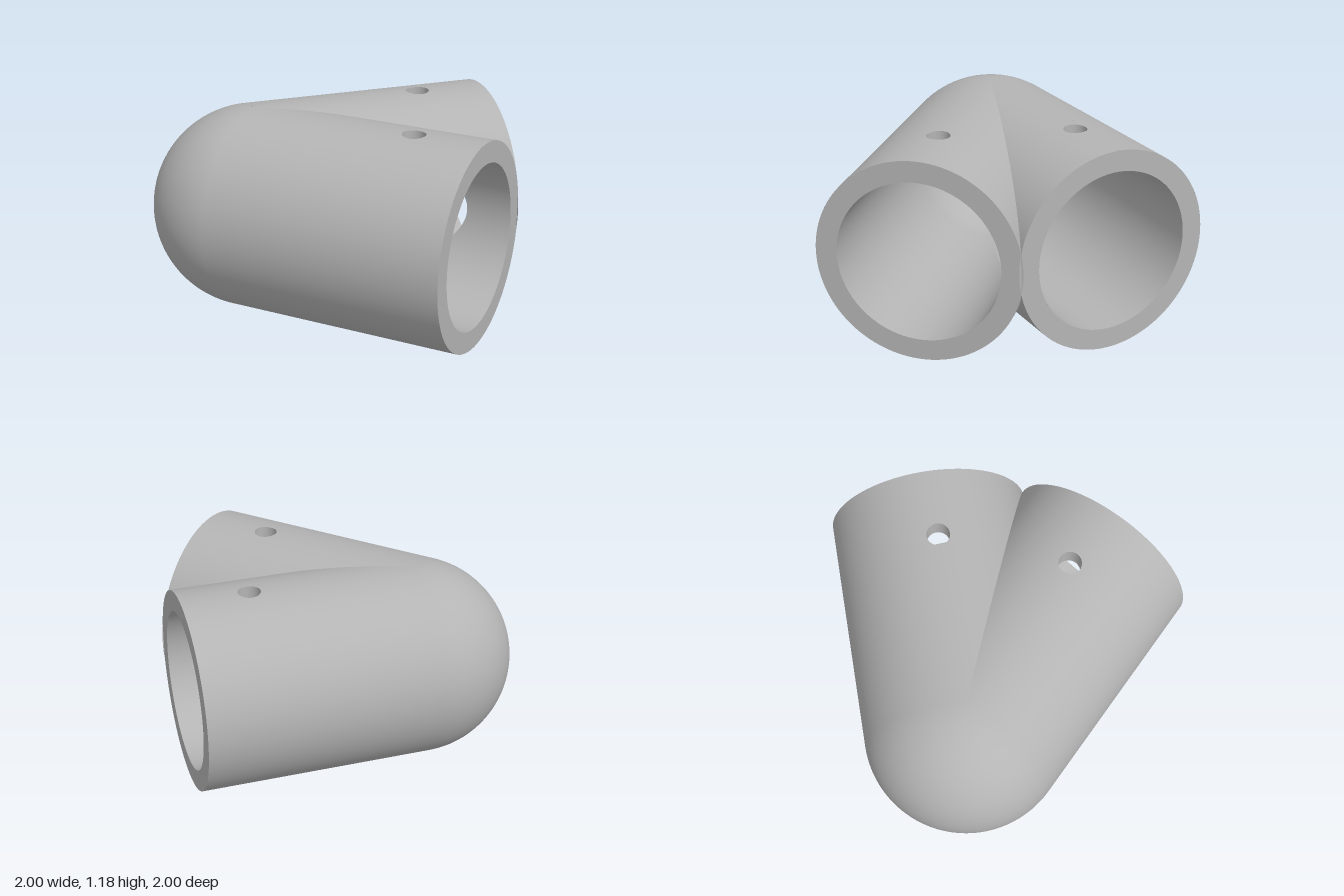
import * as THREE from 'three';
import { ParametricGeometry } from 'three/addons/geometries/ParametricGeometry.js';
import { mergeGeometries } from 'three/addons/utils/BufferGeometryUtils.js';

const R = 0.592, BORE = 0.47, LENGTH = 1.4;       // tube radii and length from the elbow centre
const CENTRE = new THREE.Vector3(-0.408, R, 0.408);
const HALF_ANGLE = Math.PI / 8;                   // the tubes meet at 45 degrees
const PIN = 0.067, PIN_AT = 0.997, PATCH = 0.12;  // pin hole radius, position, surrounding square

// One tube; s runs along the axis, q sideways towards the other tube, h upwards
function tubeGeometry(axis, side, mirrored) {
  const up = new THREE.Vector3(0, 1, 0);
  const sheet = (nu, nv, flip, fn) => new ParametricGeometry((u, v, target) => {
    const [s, q, h] = fn(flip !== mirrored ? 1 - u : u, v);
    target.set(0, 0, 0).addScaledVector(axis, s).addScaledVector(side, q).addScaledVector(up, h);
  }, nu, nv);
  const lerp = THREE.MathUtils.lerp;
  const parts = [];

  for (const r of [R, BORE]) {
    const inner = r === BORE;
    const tw = Math.asin(PATCH / r);
    // Start of the wall: the mitre plane on the near side, the dome on the far side
    const start = t => Math.min(LENGTH, Math.max(0, r * Math.sin(t) / Math.tan(HALF_ANGLE)));
    const wall = (t0, t1, nt, from, to) => parts.push(sheet(8, nt, inner, (u, v) => {
      const t = lerp(t0, t1, v);
      return [lerp(from(t), to, u), r * Math.sin(t), r * Math.cos(t)];
    }));
    wall(tw, 2 * Math.PI - tw, 120, start, LENGTH);
    wall(-tw, tw, 12, start, PIN_AT - PATCH);
    wall(-tw, tw, 12, () => PIN_AT + PATCH, LENGTH);

    // Square patch with the round pin hole
    parts.push(sheet(4, 48, inner, (u, v) => {
      const a = v * 2 * Math.PI, c = Math.cos(a), d = Math.sin(a);
      const rho = lerp(PIN, PATCH / Math.max(Math.abs(c), Math.abs(d)), u);
      const q = rho * d;
      return [PIN_AT + rho * c, q, Math.sqrt(r * r - q * q)];
    }));
  }

  // Wall of the pin hole
  parts.push(sheet(1, 48, false, (u, v) => {
    const a = v * 2 * Math.PI, q = PIN * Math.sin(a);
    const h = lerp(Math.sqrt(BORE * BORE - q * q), Math.sqrt(R * R - q * q), u);
    return [PIN_AT + PIN * Math.cos(a), q, h];
  }));

  // Flat rim at the open end
  parts.push(sheet(1, 128, false, (u, v) => {
    const t = v * 2 * Math.PI, r = lerp(R, BORE, u);
    return [LENGTH, r * Math.sin(t), r * Math.cos(t)];
  }));
  return mergeGeometries(parts);
}

// The part of the elbow sphere that neither tube covers
function domeGeometry(r) {
  return new THREE.SphereGeometry(r, 48, 64, Math.PI * 1.75, Math.PI * 0.75);
}

export function createModel() {
  const group = new THREE.Group();
  group.name = 'pipeElbowConnector';
  const grey = new THREE.MeshStandardMaterial({ color: 0xb4b4b4, side: THREE.DoubleSide });
  grey.name = 'plain grey';

  const add = (name, geometry) => {
    const mesh = new THREE.Mesh(geometry, grey);
    mesh.name = name;
    mesh.position.copy(CENTRE);
    group.add(mesh);
  };

  const c = Math.SQRT1_2;
  add('straightTube', tubeGeometry(new THREE.Vector3(1, 0, 0), new THREE.Vector3(0, 0, -1), false));
  add('angledTube', tubeGeometry(new THREE.Vector3(c, 0, -c), new THREE.Vector3(c, 0, c), true));
  add('outerDome', domeGeometry(R));
  add('innerDome', domeGeometry(BORE));
  return group;
}
